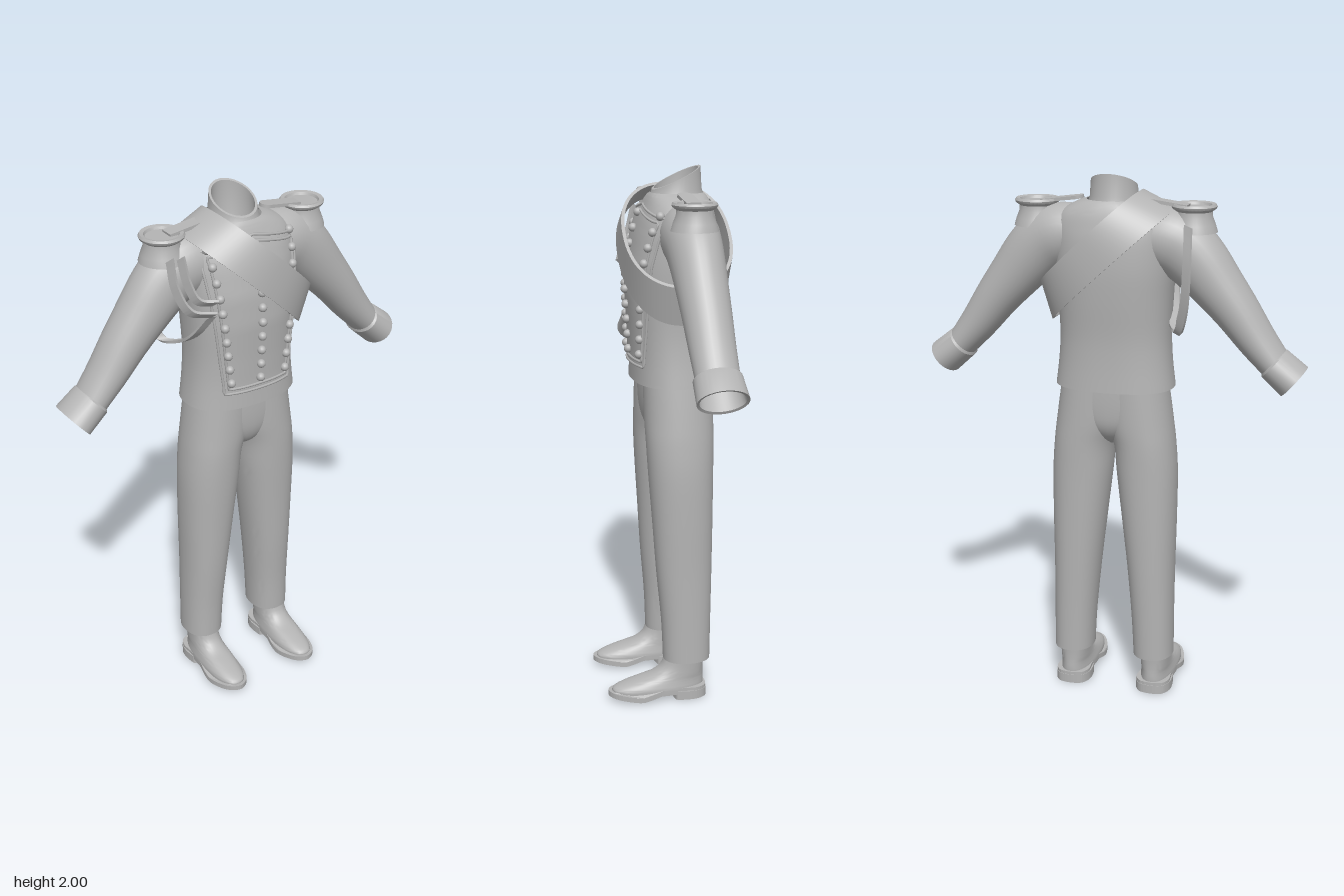
import * as THREE from 'three';
import { toCreasedNormals } from 'three/addons/utils/BufferGeometryUtils.js';

const cloth = new THREE.MeshStandardMaterial({ color: 0xb4b4b4, side: THREE.DoubleSide });
cloth.name = 'plain grey';
const V = (x, y, z) => new THREE.Vector3(x, y, z);
const spow = (v, e) => Math.sign(v) * Math.pow(Math.abs(v), e);

function part(name, geometry, parent) {
  const mesh = new THREE.Mesh(geometry, cloth);
  mesh.name = name;
  parent.add(mesh);
  return mesh;
}

// Skin a list of rings; caps close the first or last ring
function loft(rings, { capStart = false, capEnd = false, loop = false, crease = 0.7 } = {}) {
  const m = rings[0].length, n = rings.length, pos = [], idx = [];
  rings.forEach(r => r.forEach(p => pos.push(p.x, p.y, p.z)));
  for (let i = 0; i < (loop ? n : n - 1); i++) for (let j = 0; j < m; j++) {
    const a = i * m + j, b = i * m + (j + 1) % m, k = ((i + 1) % n) * m;
    const c = k + j, d = k + (j + 1) % m;
    idx.push(a, c, b, c, d, b);
  }
  const cap = (row, flip) => {
    const mid = rings[row].reduce((s, p) => s.add(p), V(0, 0, 0)).divideScalar(m);
    const k = pos.push(mid.x, mid.y, mid.z) / 3 - 1;
    for (let j = 0; j < m; j++) {
      const a = row * m + j, b = row * m + (j + 1) % m;
      flip ? idx.push(k, a, b) : idx.push(k, b, a);
    }
  };
  if (capStart) cap(0, true);
  if (capEnd) cap(n - 1, false);
  const g = new THREE.BufferGeometry();
  g.setAttribute('position', new THREE.Float32BufferAttribute(pos, 3));
  g.setIndex(idx);
  return toCreasedNormals(g, crease);
}

// Horizontal rounded section between given x and z limits
function section(y, x0, x1, zf, zb, p = 2.2, m = 40) {
  return Array.from({ length: m }, (_, j) => {
    const a = j / m * Math.PI * 2;
    return V((x0 + x1) / 2 + (x1 - x0) / 2 * spow(Math.cos(a), 2 / p), y,
      (zf + zb) / 2 + (zf - zb) / 2 * spow(Math.sin(a), 2 / p));
  });
}

// Smooth sampling of a table of rows
function smoothRows(rows, n) {
  const k = rows.length - 1;
  return Array.from({ length: n + 1 }, (_, s) => {
    const t = s / n * k, i = Math.min(Math.floor(t), k - 1), f = t - i;
    return rows[0].map((_, c) => {
      const g = q => rows[Math.max(0, Math.min(k, q))][c];
      const m0 = (g(i + 1) - g(i - 1)) / 2, m1 = (g(i + 2) - g(i)) / 2;
      return (2 * f ** 3 - 3 * f * f + 1) * g(i) + (f ** 3 - 2 * f * f + f) * m0
        + (3 * f * f - 2 * f ** 3) * g(i + 1) + (f ** 3 - f * f) * m1;
    });
  });
}

// Flat band of given thickness: centre, half-width and outward vectors along t
function band(n, at, loop, thick) {
  const rings = [];
  for (let i = 0; i < (loop ? n : n + 1); i++) {
    const { c, w, o } = at(i / n);
    rings.push([[1, 1], [-1, 1], [-1, -1], [1, -1]].map(([s, h]) =>
      c.clone().addScaledVector(w, s).addScaledVector(o, h * thick / 2)));
  }
  return loft(rings, { loop, capStart: !loop, capEnd: !loop });
}

// Jacket rows: y, half width, front z, back z
const TORSO = [[1.22, .222, .11, -.19], [1.32, .21, .108, -.186], [1.42, .205, .112, -.187],
  [1.55, .21, .12, -.198], [1.66, .218, .115, -.204], [1.76, .22, .095, -.2], [1.82, .215, .077, -.19],
  [1.86, .19, .06, -.18], [1.89, .14, .046, -.167], [1.905, .095, .035, -.155]];
function chestPoint(x, y, lift = 0) {
  let i = 0;
  while (i < TORSO.length - 2 && TORSO[i + 1][0] < y) i++;
  const a = TORSO[i], b = TORSO[i + 1], f = (y - a[0]) / (b[0] - a[0]);
  const [hx, zf, zb] = [1, 2, 3].map(c => a[c] + (b[c] - a[c]) * f);
  const xx = Math.max(-.95 * hx, Math.min(.95 * hx, x));
  const r = Math.pow(1 - Math.pow(Math.abs(xx) / hx, 2.4), 1 / 2.4);
  return V(xx, y, (zf + zb) / 2 + (zf - zb) / 2 * r + lift);
}

function buildJacket(root) {
  const g = new THREE.Group();
  g.name = 'jacket';
  root.add(g);
  part('jacketBody', loft(smoothRows(TORSO, 36).map(([y, h, f, b]) => section(y, -h, h, f, b, 2.4, 56)),
    { capStart: true }), g);

  // Standing collar, higher at the back, hollow inside
  const collarRing = (r, base, tilt) => section(0, -.083 * r, .083 * r, -.058 + .089 * r, -.058 - .089 * r, 2, 36)
    .map(p => V(p.x, base - tilt * (p.z + .058), p.z));
  part('collar', loft([collarRing(1.16, 1.885, 0), collarRing(1.05, 1.91, .1), collarRing(1, 1.957, .47),
    collarRing(.9, 1.957, .47), collarRing(.9, 1.88, .1), collarRing(.7, 1.82, 0), collarRing(.3, 1.8, 0)],
    { capEnd: true }), g);

  // Double-breasted front panel with piping
  const half = y => .135 + (y - 1.29) * .115;
  const pt = (u, v, lift) => {
    const y = 1.29 + v * (.575 - .04 * Math.abs(u));
    return chestPoint(u * half(y), y, lift);
  };
  const panel = new THREE.PlaneGeometry(2, 1, 24, 24), pp = panel.attributes.position;
  for (let i = 0; i < pp.count; i++) {
    const q = pt(pp.getX(i), pp.getY(i) + .5, .007);
    pp.setXYZ(i, q.x, q.y, q.z);
  }
  panel.computeVertexNormals();
  part('frontPanel', panel, g);
  const piping = (e, name) => {
    const pts = [], N = 16, lo = e / .6, hi = 1 - e / .6, s = 1 - e / .17;
    for (let i = 0; i < N; i++) pts.push(pt(-s, lo + (hi - lo) * i / N, .008));
    for (let i = 0; i < N; i++) pts.push(pt(-s + 2 * s * i / N, hi, .008));
    for (let i = 0; i < N; i++) pts.push(pt(s, hi - (hi - lo) * i / N, .008));
    for (let i = 0; i < N; i++) pts.push(pt(s - 2 * s * i / N, lo, .008));
    part(name, new THREE.TubeGeometry(new THREE.CatmullRomCurve3(pts, true), 160, .005, 6, true), g);
  };
  piping(0, 'outerPiping');
  piping(.02, 'innerPiping');

  // Three columns of round buttons
  const ball = new THREE.SphereGeometry(.016, 14, 10);
  for (let i = 0; i < 10; i++) for (const s of [-1, 0, 1]) {
    const y = 1.335 + i * .0557;
    part('button', ball, g).position.copy(chestPoint(s * (.115 + (y - 1.335) * .11), y, .013));
  }
}

function buildArm(root, side) {
  const g = new THREE.Group();
  g.name = side > 0 ? 'leftArm' : 'rightArm';
  g.scale.x = side;
  root.add(g);
  // Rows: x, y, half thickness, half depth
  const tube = (rows, opts) => loft(rows.map(([x, y, r, d, tx, ty]) =>
    Array.from({ length: 28 }, (_, j) => {
      const a = j / 28 * Math.PI * 2, l = Math.hypot(tx, ty);
      return V(x - ty / l * r * Math.cos(a), y + tx / l * r * Math.cos(a), -.06 - d * Math.sin(a));
    })), opts);
  const rows = smoothRows([[.13, 1.775, .105, .1], [.2, 1.765, .118, .105], [.26, 1.735, .118, .1],
    [.315, 1.685, .11, .096], [.38, 1.61, .096, .091], [.45, 1.525, .083, .086],
    [.525, 1.425, .07, .081], [.6, 1.335, .057, .077]], 28);
  const dirs = rows.map((r, i) => {
    const a = rows[Math.max(0, i - 1)], b = rows[Math.min(rows.length - 1, i + 1)];
    return [...r, b[0] - a[0], b[1] - a[1]];
  });
  part('sleeve', tube(dirs, { capStart: true }), g);
  const cx = .076, cy = -.066;
  part('cuff', tube([[.585, 1.35, .055, .075], [.592, 1.343, .064, .086], [.666, 1.281, .068, .091],
    [.664, 1.283, .058, .081], [.6, 1.338, .052, .072]].map(r => [...r, cx, cy]), { capEnd: true }), g);

  // Shoulder ornament: rimmed disc, flared skirt and strap to the collar
  const prof = [[0, 1.884], [.058, 1.884], [.062, 1.893], [.076, 1.896], [.081, 1.888], [.078, 1.88],
    [.064, 1.87], [.066, 1.85], [.076, 1.825], [.084, 1.798], [.078, 1.798]].map(p => new THREE.Vector2(...p));
  const epaulette = part('epaulette', toCreasedNormals(new THREE.LatheGeometry(prof, 36), .6), g);
  epaulette.position.set(.29, 0, -.055);
  const s = new THREE.Shape();
  s.moveTo(.13, -.027).lineTo(0, -.027).absarc(0, 0, .027, -Math.PI / 2, Math.PI / 2, true).lineTo(.13, .027);
  const strap = part('shoulderStrap', new THREE.ExtrudeGeometry(s, { depth: .012, bevelEnabled: false }), g);
  strap.rotation.set(-Math.PI / 2, .13, 0);
  strap.position.set(.14, 1.897, -.057);
}

function buildLeg(root, side) {
  const g = new THREE.Group();
  g.name = side > 0 ? 'leftLeg' : 'rightLeg';
  g.scale.x = side;
  root.add(g);
  // Trouser leg rows: y, inner x, outer x, front z, back z
  const rows = smoothRows([[.15, .083, .236, .024, -.155], [.3, .075, .235, .03, -.158], [.5, .057, .235, .047, -.163],
    [.7, .034, .238, .06, -.167], [.88, .013, .238, .072, -.17], [1.0, .001, .23, .078, -.173],
    [1.1, -.03, .218, .08, -.175], [1.25, -.05, .197, .08, -.175]], 40);
  part('trouserLeg', loft(rows.map(r => section(...r)), { capStart: true }), g);

  // Boot upper
  const boot = smoothRows([[.022, .066, .222, -.128], [.045, .066, .224, -.13], [.062, .062, .19, -.13],
    [.078, .058, .135, -.129], [.095, .056, .075, -.128], [.125, .055, .035, -.128], [.17, .056, .018, -.13]], 24);
  part('boot', loft(boot.map(([y, h, f, b]) => section(y, .163 - h, .163 + h, f, b, 2.3)),
    { capStart: true, capEnd: true }), g);

  // Sole with raised arch and toe, then the heel block
  const edge = [[.04, -.13], [.064, -.095], [.062, -.04], [.065, .03], [.075, .1], [.066, .165], [.038, .22]];
  const outline = (pts, tip) => new THREE.Shape(new THREE.CatmullRomCurve3([...pts.map(([x, z]) => V(x, z, 0)),
    ...tip, ...pts.slice().reverse().map(([x, z]) => V(-x, z, 0))], true).getPoints(60).map(p => new THREE.Vector2(p.x, p.y)));
  const sole = new THREE.ExtrudeGeometry(outline(edge, [V(0, .24, 0)]), { depth: .02, bevelEnabled: false });
  sole.rotateX(Math.PI / 2);
  const p = sole.attributes.position;
  for (let i = 0; i < p.count; i++) {
    const z = p.getZ(i);
    p.setY(i, p.getY(i) + (z < .03 ? .046 : z < .12 ? .046 - .02 * (z - .03) / .09 : .026 + .014 * (z - .12) / .12));
  }
  sole.computeVertexNormals();
  part('sole', sole, g).position.x = .163;
  const heel = new THREE.ExtrudeGeometry(outline([[.04, -.132], [.066, -.095], [.066, -.03], [.06, -.014]], []),
    { depth: .034, bevelEnabled: false });
  part('heel', heel.rotateX(Math.PI / 2), g).position.set(.163, .034, 0);
}

export function createModel() {
  const root = new THREE.Group();
  root.name = 'uniform';
  buildJacket(root);
  for (const side of [1, -1]) { buildArm(root, side); buildLeg(root, side); }

  // Seat of the trousers, joining both legs
  const seat = smoothRows([[1.0, .02, .0, -.09], [1.03, .06, .045, -.135], [1.08, .13, .07, -.165],
    [1.15, .185, .079, -.174], [1.25, .197, .08, -.175]], 16);
  part('trouserSeat', loft(seat.map(([y, h, f, b]) => section(y, -h, h, f, b, 2.4)), { capStart: true }), root);

  // Sash from the right shoulder round to the left hip
  part('sash', band(72, t => {
    const a = t * Math.PI * 2, u = spow(Math.cos(a), .87), v = spow(Math.sin(a), .87), k = (1 + u) / 2;
    return { c: V(.045 + .2 * u, 1.715 - .185 * u, -.042 + .193 * v),
      w: V(.066 - .046 * k, .03 + .04 * k, 0),
      o: V(.73 * Math.cos(a), -.68 * Math.cos(a), Math.sin(a)).normalize() };
  }, true, .012), root);

  // Flat cords hanging round the right arm
  const cord = (name, pts, w) => {
    const curve = new THREE.CatmullRomCurve3(pts.map(q => V(...q)));
    part(name, band(40, t => ({ c: curve.getPoint(t), w,
      o: curve.getTangent(t).cross(w).normalize() }), false, .01), root);
  };
  cord('frontCord', [[-.31, 1.83, .03], [-.305, 1.73, .055], [-.27, 1.65, .09], [-.19, 1.63, .115]], V(.006, .01, .012));
  cord('innerCord', [[-.27, 1.83, .035], [-.26, 1.74, .06], [-.235, 1.68, .085], [-.18, 1.67, .11]], V(.006, .01, .012));
  cord('hangingCord', [[-.29, 1.83, -.15], [-.295, 1.7, -.185], [-.285, 1.54, -.18], [-.255, 1.45, -.14],
    [-.22, 1.46, -.07], [-.212, 1.52, .02], [-.19, 1.62, .1]], V(.014, .004, .008));
  return root;
}
